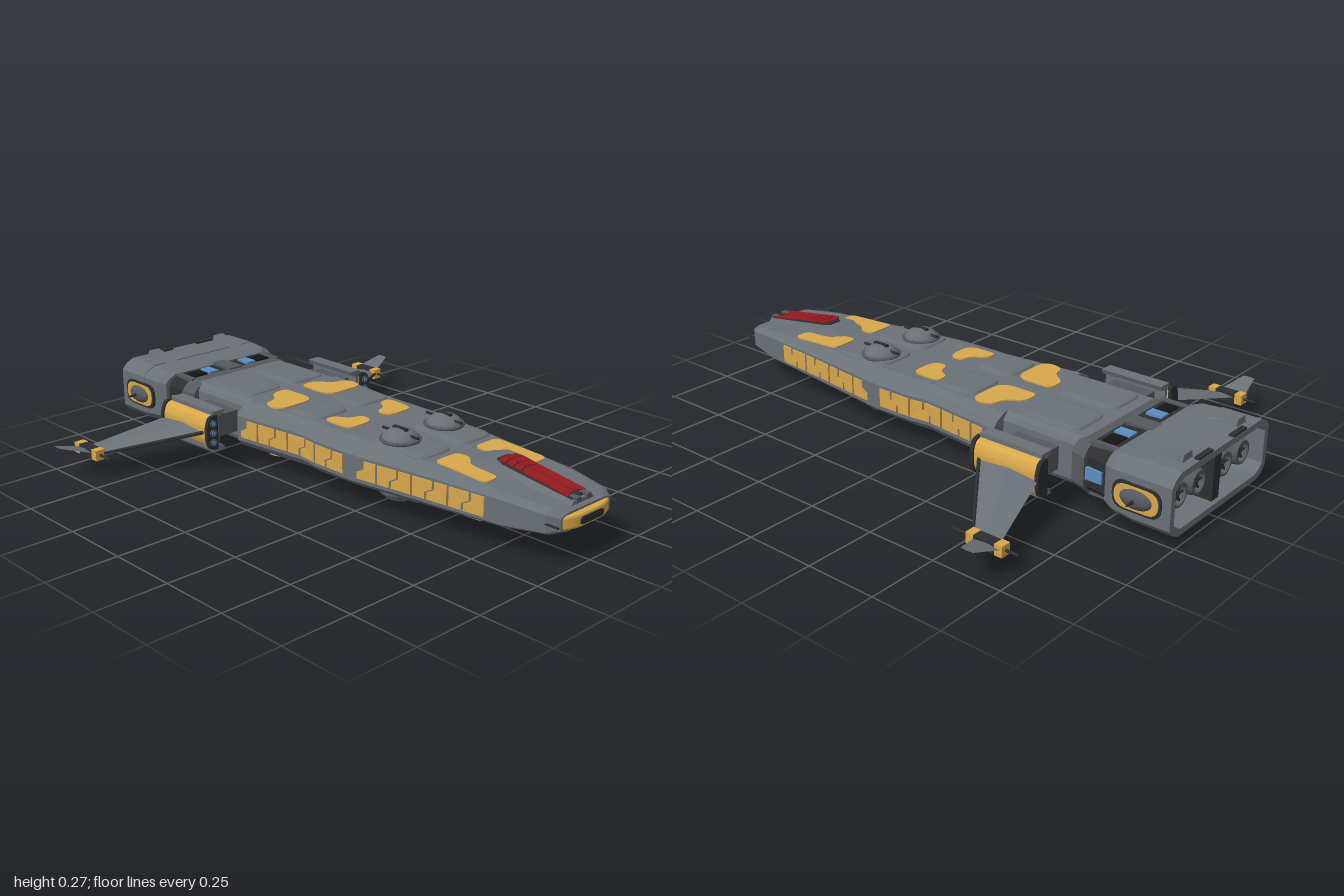
import * as THREE from 'three';

const GREY = 0x6a7077, MID = 0x55585c, DARK = 0x2d2e30, AMBER = 0xd8a74c, RED = 0x96191e, BLUE = 0x5b8fc4;
const C = 0.142; // height of the ship's axis

// hull stations: z, half width, flat deck half width, half height, flank half height
const HULL = [
  [-0.33, 0.265, 0.21, 0.086, 0.045], [-0.02, 0.232, 0.185, 0.084, 0.045], [0.05, 0.243, 0.185, 0.083, 0.045],
  [0.22, 0.243, 0.18, 0.08, 0.045], [0.58, 0.198, 0.155, 0.068, 0.043], [0.8, 0.175, 0.145, 0.055, 0.04],
  [0.94, 0.148, 0.12, 0.042, 0.028], [0.975, 0.12, 0.09, 0.03, 0.02],
];
function hullAt(z, k) {
  if (z <= HULL[0][0]) return HULL[0][k];
  for (let i = 1; i < HULL.length; i++) {
    const a = HULL[i - 1], b = HULL[i];
    if (z <= b[0]) return a[k] + (b[k] - a[k]) * (z - a[0]) / (b[0] - a[0]);
  }
  return HULL.at(-1)[k];
}

// skin over rings of [x, y, z], with flat ends
function loft(rings) {
  const pos = [], n = rings[0].length;
  const tri = (...p) => p.forEach((v) => pos.push(...v));
  const mid = (r) => [0, 1, 2].map((k) => r.reduce((s, p) => s + p[k], 0) / n);
  const first = rings[0], last = rings.at(-1);
  for (let i = 0; i < n; i++) {
    const j = (i + 1) % n;
    for (let k = 0; k + 1 < rings.length; k++) {
      const a = rings[k], b = rings[k + 1];
      tri(a[i], a[j], b[j]);
      tri(a[i], b[j], b[i]);
    }
    tri(mid(first), first[j], first[i]);
    tri(mid(last), last[i], last[j]);
  }
  const g = new THREE.BufferGeometry();
  g.setAttribute('position', new THREE.Float32BufferAttribute(pos, 3));
  g.computeVertexNormals();
  return g;
}
// twelve-sided body section
function section([z, w, wt, h, hs]) {
  const xm = wt + (w - wt) * 0.65, ym = hs + (h - hs) * 0.55;
  const q = [[w, hs], [xm, ym], [wt, h]], r = [...q].reverse();
  return [...q, ...r.map(([x, y]) => [-x, y]), ...q.map(([x, y]) => [-x, -y]), ...r.map(([x, y]) => [x, -y])]
    .map(([x, y]) => [x, C + y, z]);
}
const body = (rows) => loft(rows.map(section));

// polygon with rounded corners
function poly(pts, r = 0) {
  const s = new THREE.Shape(), P = pts.map((p) => new THREE.Vector2(...p)), n = P.length;
  const toward = (a, b) => a.clone().lerp(b, Math.min(0.5, r / a.distanceTo(b)));
  P.forEach((p, i) => {
    const a = toward(p, P[(i + n - 1) % n]), b = toward(p, P[(i + 1) % n]);
    if (i) s.lineTo(a.x, a.y); else s.moveTo(a.x, a.y);
    if (r) s.quadraticCurveTo(p.x, p.y, b.x, b.y);
  });
  s.closePath();
  return s;
}
const rect = (x0, x1, y0, y1) => [[x0, y0], [x1, y0], [x1, y1], [x0, y1]];
function extrude(shape, depth, bevel = 0, thick = bevel) {
  return new THREE.ExtrudeGeometry(shape, {
    depth, curveSegments: 4, bevelEnabled: bevel > 0, bevelSize: bevel, bevelThickness: thick, bevelOffset: -bevel, bevelSegments: 2,
  });
}
function bend(g, rule) {
  const p = g.attributes.position, v = new THREE.Vector3();
  for (let i = 0; i < p.count; i++) { rule(v.fromBufferAttribute(p, i)); p.setXYZ(i, v.x, v.y, v.z); }
  g.computeVertexNormals();
  return g;
}
// plate outlined in x, z and laid on the deck
const deckPlate = (pts, r, depth, bevel = 0, thick = 0) =>
  bend(extrude(poly(pts.map(([x, z]) => [x, -z]), r), depth, bevel, thick).rotateX(-Math.PI / 2),
    (v) => { v.y += C + hullAt(v.z, 3) - 0.003; });
// plate outlined in z, y and laid on the flank
const flankPlate = (pts) => bend(extrude(poly(pts.map(([z, y]) => [-z, y])), 0.007).rotateY(Math.PI / 2),
  (v) => { v.x += hullAt(v.z, 1) - 0.003; });

const box = (x, y, z, w, h, d) => new THREE.BoxGeometry(w, h, d).translate(x, y, z);
const rod = (a, b, r, r2 = r, n = 8) => {
  const A = new THREE.Vector3(...a), B = new THREE.Vector3(...b), d = B.clone().sub(A);
  return new THREE.CylinderGeometry(r2, r, d.length(), n)
    .applyQuaternion(new THREE.Quaternion().setFromUnitVectors(new THREE.Vector3(0, 1, 0), d.normalize()))
    .translate(...A.add(B).multiplyScalar(0.5).toArray());
};
// reflected copy about the centre plane and/or the axis height
function reflect(geo, sx, sy) {
  const g = geo.index ? geo.toNonIndexed() : geo.clone();
  g.translate(0, -C, 0).scale(sx, sy, 1).translate(0, C, 0);
  if (sx * sy < 0) for (const a of Object.values(g.attributes)) {
    const s = a.itemSize;
    for (let i = 0; i < a.count; i += 3) for (let k = 0; k < s; k++) {
      const p = (i + 1) * s + k, q = p + s, t = a.array[p];
      a.array[p] = a.array[q];
      a.array[q] = t;
    }
  }
  return g;
}

export function createModel() {
  const ship = new THREE.Group();
  ship.name = 'spaceship';
  // mirror: '' once, 'x' both sides, 'y' above and below, 'xy' all four
  function add(name, geo, color, mirror = '', smooth = false) {
    const material = new THREE.MeshStandardMaterial({ color, flatShading: !smooth });
    for (const sx of mirror.includes('x') ? [1, -1] : [1]) for (const sy of mirror.includes('y') ? [1, -1] : [1]) {
      const m = new THREE.Mesh(reflect(geo, sx, sy), material);
      m.name = name + (mirror.includes('x') ? (sx > 0 ? 'Left' : 'Right') : '') + (mirror.includes('y') ? (sy > 0 ? 'Upper' : 'Lower') : '');
      ship.add(m);
    }
  }

  // main body
  add('hull', body(HULL), GREY);
  add('neck', body([[-0.64, 0.215, 0.19, 0.086, 0.06], [-0.32, 0.215, 0.19, 0.086, 0.06]]), GREY);

  // raised deck panels and amber deck patches, top and bottom
  for (const [x, z0, z1] of [[0.185, -0.595, -0.36], [0.18, -0.17, -0.01], [0.172, 0.23, 0.47]])
    add('deckPanel', deckPlate(rect(0.02, x, z0, z1), 0.04, 0.003, 0.016, 0.009), GREY, 'xy');
  const patches = [
    [[0.035, -0.33], [0.1, -0.33], [0.14, -0.27], [0.19, -0.265], [0.205, -0.215], [0.185, -0.18], [0.06, -0.18], [0.035, -0.21]],
    [[0.155, 0], [0.11, 0], [0.085, 0.05], [0.035, 0.06], [0.035, 0.1], [0.06, 0.12], [0.14, 0.12], [0.155, 0.09]],
    [[0.04, 0.5], [0.15, 0.5], [0.15, 0.71], [0.085, 0.71], [0.085, 0.59], [0.04, 0.56]],
  ];
  for (const p of patches) add('deckPatch', deckPlate(p, 0.025, 0.008), AMBER, 'xy');

  // amber flank panels, every second joint stepped
  const edge = (z, i) => i % 2 ? [[z - 0.014, 0.112], [z - 0.014, 0.136], [z + 0.014, 0.15], [z + 0.014, 0.177]] : [[z, 0.112], [z, 0.177]];
  for (const [start, step] of [[0.74, 0.0686], [0.19, 0.07]]) for (let i = 0; i < 7; i++) {
    const a = edge(start - i * step - 0.004, i), b = edge(start - (i + 1) * step + 0.004, i + 1);
    add('flankPanel', flankPlate([...a, ...b.reverse()]), AMBER, 'x');
  }

  // gun domes
  const dome = new THREE.SphereGeometry(0.065, 24, 14).scale(1, 0.7, 1).translate(0.105, 0.222, 0.31);
  add('gunDome', dome, GREY, 'xy', true);
  add('domeRing', new THREE.TorusGeometry(0.064, 0.006, 6, 24).rotateX(Math.PI / 2).translate(0.105, 0.231, 0.31), MID, 'xy', true);
  add('domeGun', rod([0.105, 0.25, 0.23], [0.105, 0.25, 0.39], 0.005), DARK, 'xy');
  add('domeGunMount', box(0.105, 0.262, 0.31, 0.014, 0.016, 0.06), DARK, 'xy');

  // cockpit
  const ridge = (rows) => loft(rows.map(([z, b, t, y0, y1]) => [[b, y0, z], [t, y1, z], [-t, y1, z], [-b, y0, z]]));
  add('cockpitHousing', ridge([[0.54, 0.07, 0.05, 0.19, 0.21], [0.62, 0.088, 0.065, 0.18, 0.232], [0.69, 0.088, 0.06, 0.17, 0.231], [0.96, 0.075, 0.045, 0.15, 0.19]]), GREY);
  add('canopyFrame', ridge([[0.65, 0.04, 0.025, 0.22, 0.236], [0.69, 0.052, 0.045, 0.22, 0.237], [0.95, 0.05, 0.04, 0.175, 0.196]]), DARK);
  for (const [z0, z1] of [[0.66, 0.685], [0.69, 0.715], [0.72, 0.745], [0.75, 0.925]]) {
    const y = (z) => 0.237 - (z - 0.69) * 0.158;
    const pane = bend(extrude(poly([[0.003, -z0], [0.042, -z0 - 0.012], [0.042, -z1 - 0.012], [0.003, -z1]]), 0.006).rotateX(-Math.PI / 2),
      (v) => { v.y += Math.min(0.237, y(v.z)) - 0.003; });
    add('canopyPane', pane, RED, 'x');
  }
  add('noseSensor', box(0.025, 0.19, 0.95, 0.022, 0.018, 0.03), MID, 'x');
  add('noseProng', rod([0.145, C, 0.92], [0.145, C, 0.985], 0.004), DARK, 'x');

  // amber bumper with dark slot
  const bumper = [[-0.13, -0.94], [-0.127, -0.97], [-0.07, -0.996], [0.07, -0.996], [0.127, -0.97], [0.13, -0.94]];
  add('noseBumper', extrude(poly(bumper, 0.03), 0.03, 0.008).rotateX(-Math.PI / 2).translate(0, C - 0.015, 0), AMBER);
  add('noseSlot', extrude(poly(rect(-0.055, 0.055, 0.13, 0.154), 0.012), 0.05).translate(0, 0, 0.95), DARK);

  // wing arms, brackets and amber root pods
  add('wingArm', box(0.265, C, -0.47, 0.15, 0.08, 0.16), MID, 'x');
  const channel = [[0.305, 0.068], [0.355, 0.068], [0.355, 0.217], [0.305, 0.217], [0.312, 0.2], [0.332, 0.195], [0.332, 0.09], [0.312, 0.085]];
  add('wingBracket', extrude(poly(channel), 0.24).translate(0, 0, -0.59), GREY, 'x');
  const podOutline = (g) => poly([[0.345, 0.085 - g], [0.375 + g, 0.09 - g], [0.388 + g, 0.12], [0.388 + g, 0.168], [0.375 + g, 0.198 + g], [0.345, 0.205 + g]], 0.012);
  add('wingRootPod', extrude(podOutline(0), 0.25).translate(0, 0, -0.595), AMBER, 'x');
  for (const z of [-0.606, -0.352]) add('podCap', extrude(podOutline(0.005), 0.014).translate(0, 0, z), DARK, 'x');
  for (const y of [0.11, 0.145, 0.18]) {
    add('podLampRim', rod([0.367, y, -0.35], [0.367, y, -0.334], 0.014, 0.014, 12), MID, 'x');
    add('podLamp', rod([0.367, y, -0.35], [0.367, y, -0.331], 0.008, 0.008, 10), BLUE, 'x');
  }

  // drooping wings and upturned winglets
  const wing = (rows) => loft(rows.map(([x, y, lead, trail, t]) => [[x, y, trail], [x, y + t, (lead + trail) / 2], [x, y, lead], [x, y - t, (lead + trail) / 2]]));
  add('wing', wing([[0.37, 0.147, -0.36, -0.595, 0.011], [0.67, 0.081, -0.585, -0.68, 0.006]]), GREY, 'x');
  add('wingLeadingEdge', rod([0.38, 0.145, -0.366], [0.66, 0.083, -0.577], 0.007, 0.005, 6), DARK, 'x');
  add('winglet', wing([[0.67, 0.078, -0.595, -0.705, 0.006], [0.79, 0.115, -0.64, -0.685, 0.002]]), GREY, 'x');
  add('tipPod', box(0.675, 0.08, -0.64, 0.034, 0.034, 0.12), DARK, 'x');
  for (const z of [-0.695, -0.59]) add('tipPodBand', box(0.675, 0.08, z, 0.037, 0.037, 0.028), AMBER, 'x');
  add('tipAntenna', rod([0.675, 0.08, -0.755], [0.675, 0.08, -0.515], 0.005), DARK, 'x');

  // window band behind the neck
  add('bandFrame', body([[-0.67, 0.25, 0.2, 0.09, 0.05], [-0.615, 0.235, 0.19, 0.084, 0.05]]), MID);
  add('windowBand', body([[-0.79, 0.25, 0.205, 0.089, 0.05], [-0.66, 0.235, 0.195, 0.082, 0.05]]), DARK);
  add('bandSpine', box(0, C, -0.715, 0.06, 0.188, 0.11), MID);
  add('bandPost', box(0.2, C, -0.715, 0.02, 0.182, 0.11), MID, 'x');
  add('deckWindow', box(0.09, 0.226, -0.71, 0.04, 0.018, 0.06), BLUE, 'xy');
  add('deckVent', box(0.148, 0.226, -0.71, 0.06, 0.014, 0.05), 0x151516, 'xy');
  add('sideWindow', box(0.24, C, -0.705, 0.02, 0.04, 0.06), BLUE, 'x');

  // engine block: solid front, hollow rear
  add('engineBlock', body([[-0.87, 0.285, 0.235, 0.104, 0.07], [-0.79, 0.278, 0.23, 0.1, 0.065], [-0.755, 0.26, 0.215, 0.09, 0.06]]), GREY);
  const outline = (inset) => section([0, 0.285 - inset, 0.235 - inset * 0.6, 0.106 - inset, 0.07 - inset * 0.6]).map(([x, y]) => [x, y]);
  const shell = poly(outline(0));
  shell.holes.push(poly(outline(0.022)));
  add('engineShell', extrude(shell, 0.14).translate(0, 0, -1), GREY);
  add('engineBulkhead', box(0, C, -0.868, 0.5, 0.16, 0.01), DARK);
  add('engineDivider', box(0, C, -0.925, 0.04, 0.175, 0.12), DARK);

  // four thrusters
  const bell = [[0.03, 0], [0.045, 0.02], [0.048, 0.07], [0.04, 0.1], [0.033, 0.1], [0.028, 0.06], [0, 0.06]].map((p) => new THREE.Vector2(...p));
  for (const x of [0.078, 0.185]) {
    add('thruster', new THREE.LatheGeometry(bell, 20).rotateX(-Math.PI / 2).translate(x, C, -0.87), MID, 'x');
    add('thrusterGlow', rod([x, C, -0.925], [x, C, -0.942], 0.024, 0.02, 16), BLUE, 'x');
    add('thrusterHub', rod([x, C, -0.93], [x, C, -0.965], 0.01, 0.004), DARK, 'x');
    for (let i = 0; i < 3; i++)
      add('thrusterVane', new THREE.BoxGeometry(0.064, 0.005, 0.012).rotateZ(i * Math.PI / 3).translate(x, C, -0.955), DARK, 'x');
  }

  // fins above, skid rails below, rim plates
  add('topFin', loft([[-0.97, 0.272], [-0.93, 0.265], [-0.83, 0.243]].map(([z, y]) => [[0.19, 0.23, z], [0.18, y, z], [0.135, y, z], [0.125, 0.23, z]])), GREY, 'x');
  add('rimPlate', box(0.1, 0.249, -0.99, 0.08, 0.012, 0.018), DARK, 'x');
  for (const [x, w] of [[0.06, 0.055], [0.15, 0.075]]) {
    add('skidRail', extrude(poly(rect(x - w / 2, x + w / 2, 0.008, 0.045), 0.01), 0.17).translate(0, 0, -0.97), MID, 'x');
    add('skidShoe', box(x, 0.006, -0.885, w * 0.5, 0.012, 0.16), DARK, 'x');
  }

  // side ports on the engine block
  const port = (g) => poly(rect(0.8 + g, 0.97 - g, 0.095 + g, 0.189 - g), 0.04);
  add('portPlate', extrude(port(0), 0.01).rotateY(Math.PI / 2).translate(0.28, 0, 0), DARK, 'x');
  add('portTrim', extrude(port(0.008), 0.012).rotateY(Math.PI / 2).translate(0.281, 0, 0), AMBER, 'x');
  add('portDome', new THREE.SphereGeometry(1, 20, 12).scale(0.024, 0.033, 0.058).translate(0.287, C, -0.885), MID, 'x', true);
  add('portSpike', rod([0.3, C, -0.885], [0.342, C, -0.885], 0.008, 0.003), DARK, 'x');

  return ship;
}
